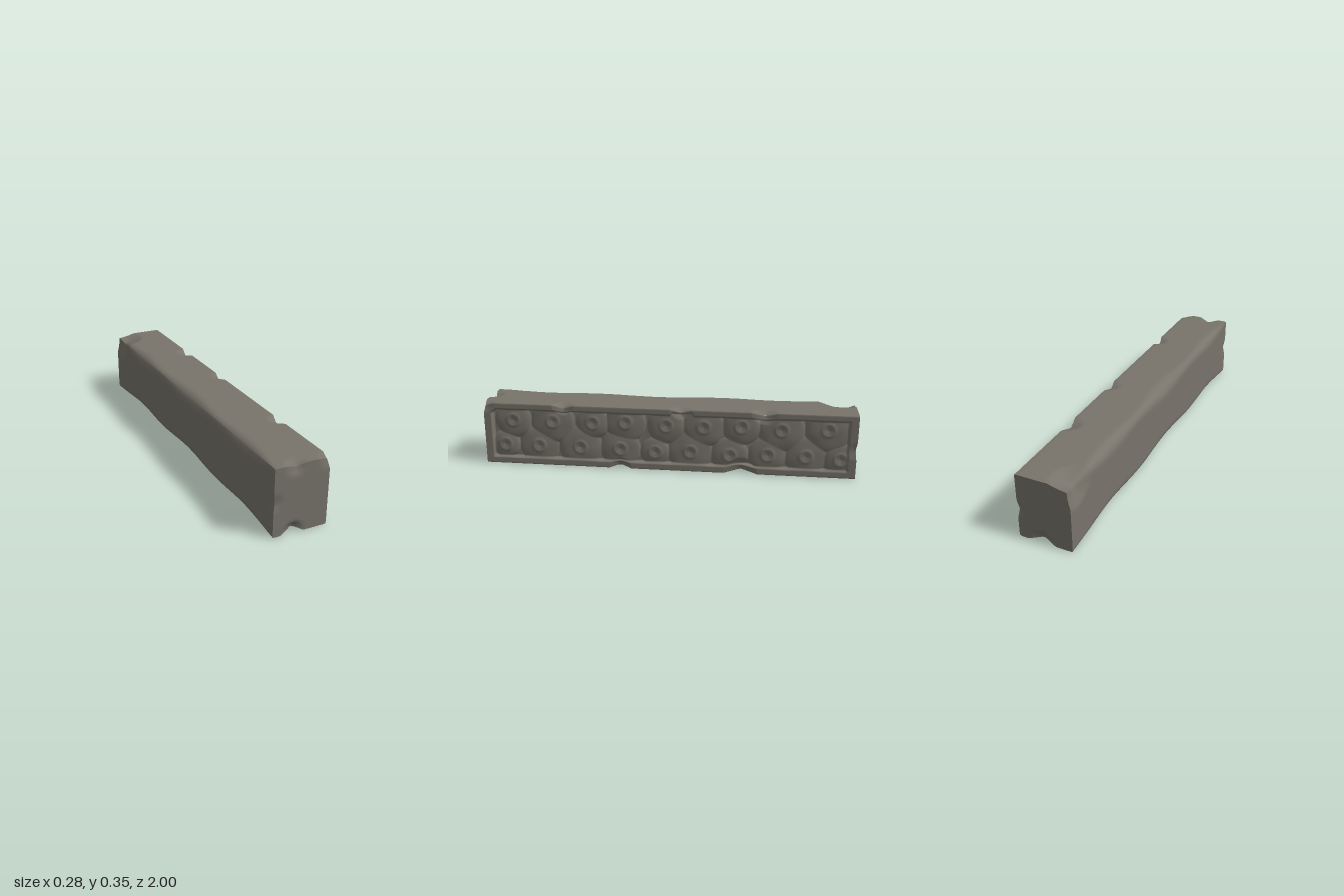
import * as THREE from 'three';

const HX = 0.141, HY = 0.173, HZ = 1;
const smooth = THREE.MathUtils.smoothstep;

// Chips knocked out of the edges: x, y, z, radius, depth (y measured from mid-height)
const chips = [
  [HX, HY, -0.08, 0.06, 0.02], [HX, HY, 0.56, 0.06, 0.025], [HX, HY, -0.52, 0.07, 0.025],
  [HX, -HY, 0.25, 0.06, 0.025], [HX, -HY, -0.4, 0.09, 0.03], [HX, HY, HZ, 0.06, 0.02],
  [-0.03, HY, HZ, 0.06, 0.025], [-0.04, -HY, HZ, 0.06, 0.035], [-HX, 0, HZ, 0.05, 0.012],
  [-HX, HY, -0.93, 0.13, 0.05], [0.02, -HY, -HZ, 0.07, 0.03], [HX, -0.02, -HZ, 0.05, 0.012],
];

// Carved round ends: z, y, radius
const rounds = [
  [0.84, 0.25, 0.1], [0.62, 0.25, 0.12], [0.4, 0.25, 0.09], [0.22, 0.26, 0.11],
  [0.0, 0.25, 0.1], [-0.2, 0.25, 0.11], [-0.4, 0.26, 0.1], [-0.61, 0.25, 0.12], [-0.85, 0.26, 0.12],
  [0.89, 0.11, 0.08], [0.7, 0.11, 0.11], [0.47, 0.11, 0.12], [0.25, 0.11, 0.11],
  [0.06, 0.1, 0.08], [-0.13, 0.11, 0.12], [-0.34, 0.1, 0.1], [-0.54, 0.11, 0.1],
  [-0.74, 0.11, 0.11], [-0.92, 0.1, 0.09],
];

// Softens the long edges, more strongly and unevenly on the plain side, then chips them
function erode(p) {
  const wave = Math.max(0, 1 - p.z ** 4) * (0.75 + 0.25 * Math.sin(p.z * 9 + 1));
  const r = p.x < 0 ? 0.006 + 0.06 * wave : 0.006;
  const qx = Math.abs(p.x) - (HX - r), qy = Math.abs(p.y) - (HY - r);
  if (qx > 0 && qy > 0) {
    const k = Math.max(qx, qy) / Math.hypot(qx, qy);
    p.x = Math.sign(p.x) * (HX - r + qx * k);
    p.y = Math.sign(p.y) * (HY - r + qy * k);
  }
  for (const [x, y, z, radius, depth] of chips) {
    const d = Math.hypot(p.x - x, p.y - y, p.z - z);
    if (d >= radius) continue;
    const push = depth * (1 - d / radius);
    const inward = new THREE.Vector3(-x, -y, Math.abs(z) === HZ ? -z * 0.15 : 0).normalize();
    p.addScaledVector(inward, push);
  }
}

// Depth of the carved panel below the frame
function carve(z, y) {
  const gap = smooth(z, -0.15, -0.135) * (1 - smooth(z, -0.035, -0.02)); // broken top rail
  const top = 0.315 + 0.018 * gap;
  const corner = (0.96 - z) + (0.315 - y) - 0.025; // clipped inner corner
  const inset = Math.min(0.96 - Math.abs(z), y - 0.035, top - y, corner);
  const mask = smooth(inset, 0, 0.009);
  let relief = 0;
  for (const [cz, cy, r] of rounds) {
    const d = Math.hypot(z - cz, y - cy);
    if (d >= r) continue;
    let h = 0.016 * Math.sqrt(1 - (d / r) ** 2) + 0.02 * (cy - y);
    h += 0.003 * Math.exp(-(((d - 0.032) / 0.009) ** 2)); // raised ring
    h -= 0.004 * Math.exp(-((d / 0.011) ** 2)); // centre pit
    relief = Math.max(relief, h);
  }
  const rough = 0.001 * Math.sin(z * 31 + y * 17) * Math.sin(y * 43 - z * 13);
  return mask * (0.023 - relief + rough);
}

function deform(geometry, rule) {
  const pos = geometry.attributes.position, p = new THREE.Vector3();
  for (let i = 0; i < pos.count; i++) {
    rule(p.fromBufferAttribute(pos, i));
    pos.setXYZ(i, p.x, p.y, p.z);
  }
  geometry.computeVertexNormals();
  return geometry;
}

export function createModel() {
  const group = new THREE.Group();
  group.name = 'carvedStoneBeam';
  const stone = new THREE.MeshStandardMaterial({ color: 0x78746b });
  stone.name = 'greyStone';

  const add = (name, geometry) => {
    const mesh = new THREE.Mesh(geometry, stone);
    mesh.name = name;
    mesh.position.y = HY;
    group.add(mesh);
  };

  // Plain block, left open on the carved side
  const block = new THREE.BoxGeometry(HX * 2, HY * 2, HZ * 2, 20, 23, 160);
  block.setIndex(Array.from(block.index.array).slice(block.groups[0].count));
  block.clearGroups();
  add('block', deform(block, erode));

  // Frame and carved face on the model's left side
  const face = new THREE.PlaneGeometry(HZ * 2, HY * 2, 480, 92);
  face.rotateY(Math.PI / 2).translate(HX, 0, 0);
  add('carvedFace', deform(face, (p) => {
    const depth = carve(p.z, p.y + HY);
    erode(p);
    p.x -= depth;
  }));

  return group;
}
